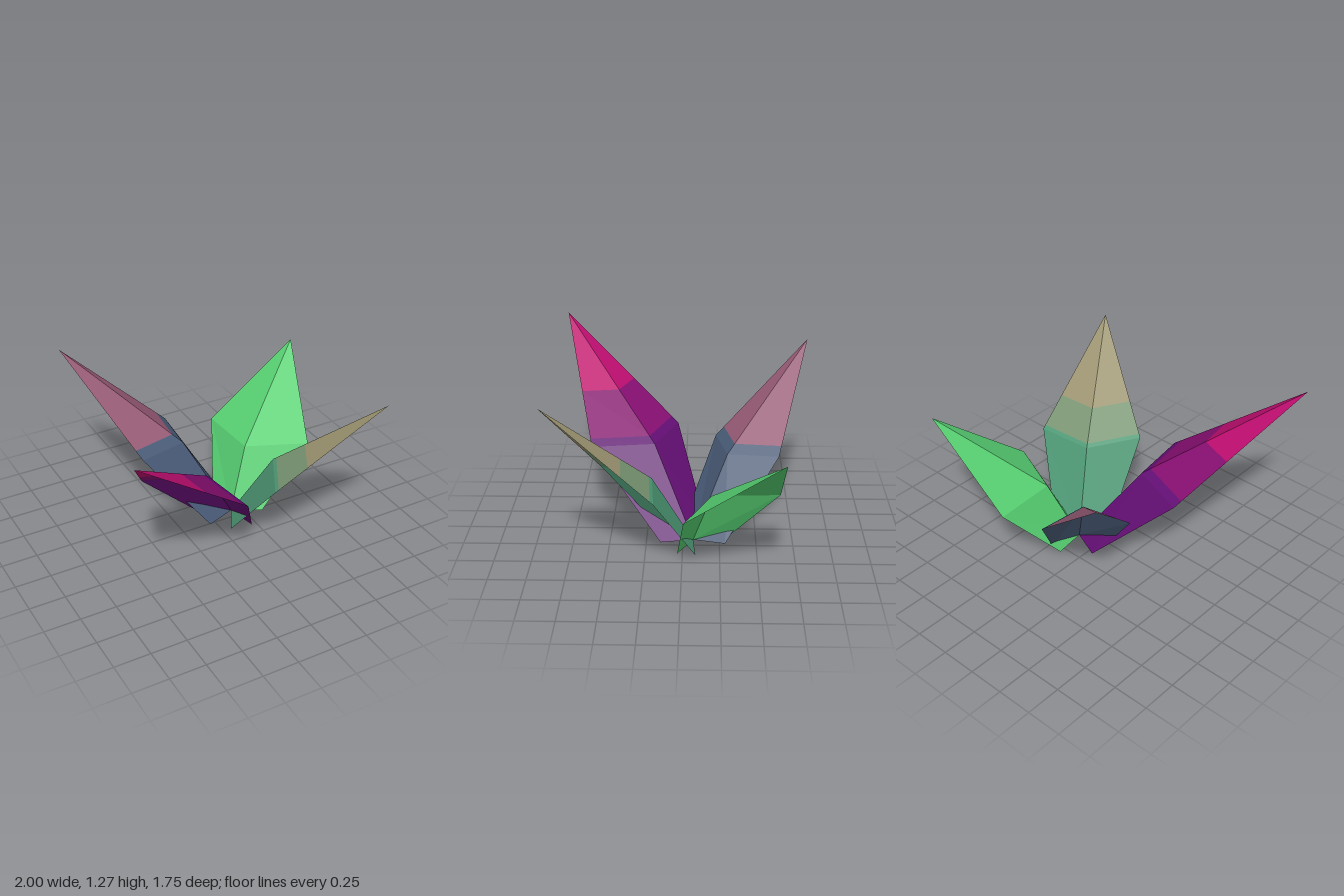
import * as THREE from 'three';

function material(name, color) {
  return new THREE.MeshStandardMaterial({ name, color, side: THREE.DoubleSide });
}

// Point where the centre creases of all leaves meet
const BASE = [0.17, -0.07];

// Leaf section at height y: [height, reach of crease, reach of edges, half width]
function sectionAt(rows, y) {
  let i = 0;
  while (i < rows.length - 2 && y > rows[i + 1][0]) i++;
  const [a, b] = [rows[i], rows[i + 1]];
  const t = (y - a[0]) / (b[0] - a[0]);
  return a.map((v, k) => v + (b[k] - v) * t);
}

// Strip of a V-folded leaf through the given heights
function leafBand(rows, tip, heights) {
  const dx = tip[0] - BASE[0], dz = tip[2] - BASE[1];
  const len = Math.hypot(dx, dz), ux = dx / len, uz = dz / len;
  const ring = y => {
    const [, crease, edge, half] = sectionAt(rows, y);
    const at = (along, side) => [BASE[0] + ux * along - uz * side, y, BASE[1] + uz * along + ux * side];
    return [at(edge, -half), at(crease, 0), at(edge, half)];
  };
  const pos = [];
  for (let i = 0; i < heights.length - 1; i++) {
    const lo = ring(heights[i]), hi = ring(heights[i + 1]);
    const atTip = heights[i + 1] >= tip[1] - 1e-6;
    for (let s = 0; s < 2; s++) {
      pos.push(...lo[s], ...hi[s], ...lo[s + 1]);
      if (!atTip) pos.push(...lo[s + 1], ...hi[s], ...hi[s + 1]);
    }
  }
  const geo = new THREE.BufferGeometry();
  geo.setAttribute('position', new THREE.Float32BufferAttribute(pos, 3));
  geo.computeVertexNormals();
  return geo;
}

export function createModel() {
  const purple = material('purple', 0x650f76);
  const plum = material('plum', 0x880f72);
  const crimson = material('crimson', 0xbe0e70);
  const teal = material('teal', 0x4f9a76);
  const sage = material('sage', 0x7a9673);
  const tan = material('tan', 0x9c9470);
  const slate = material('slate', 0x485a76);
  const mauve = material('mauve', 0x965a74);
  const green = material('green', 0x55cc70);

  // mid: widest section; bands: [top height, material] from the base up
  const leaves = [
    { name: 'frontRightLeaf', tip: [-1, 1.27, 0.87], mid: [0.57, 0.436, 0.66, 0.377],
      bands: [[0.61, purple], [0.85, plum], [1.27, crimson]] },
    { name: 'frontLeftLeaf', tip: [0.765, 1.19, 0.87], mid: [0.54, 0.32, 0.515, 0.357],
      bands: [[0.56, teal], [0.73, sage], [1.19, tan]] },
    { name: 'backRightLeaf', tip: [-0.74, 1.16, -0.88], mid: [0.53, 0.35, 0.558, 0.29],
      bands: [[0.585, slate], [1.16, mauve]] },
    { name: 'backLeftLeaf', tip: [0.995, 0.92, -0.64], mid: [0.42, 0.22, 0.46, 0.387],
      bands: [[0.92, green]] },
  ];

  const model = new THREE.Group();
  model.name = 'plant';
  for (const { name, tip, mid, bands } of leaves) {
    const leaf = new THREE.Group();
    leaf.name = name;
    const reach = Math.hypot(tip[0] - BASE[0], tip[2] - BASE[1]);
    const rows = [[0, 0, 0.105, 0.2], mid, [tip[1], reach, reach, 0]];
    let from = 0;
    bands.forEach(([to, mat], i) => {
      const heights = [from, mid[0], to].filter((y, k) => k !== 1 || (y > from && y < to));
      const mesh = new THREE.Mesh(leafBand(rows, tip, heights), mat);
      mesh.name = ['leafBase', 'leafUpper', 'leafTip'][i];
      leaf.add(mesh);
      from = to;
    });
    model.add(leaf);
  }
  return model;
}
